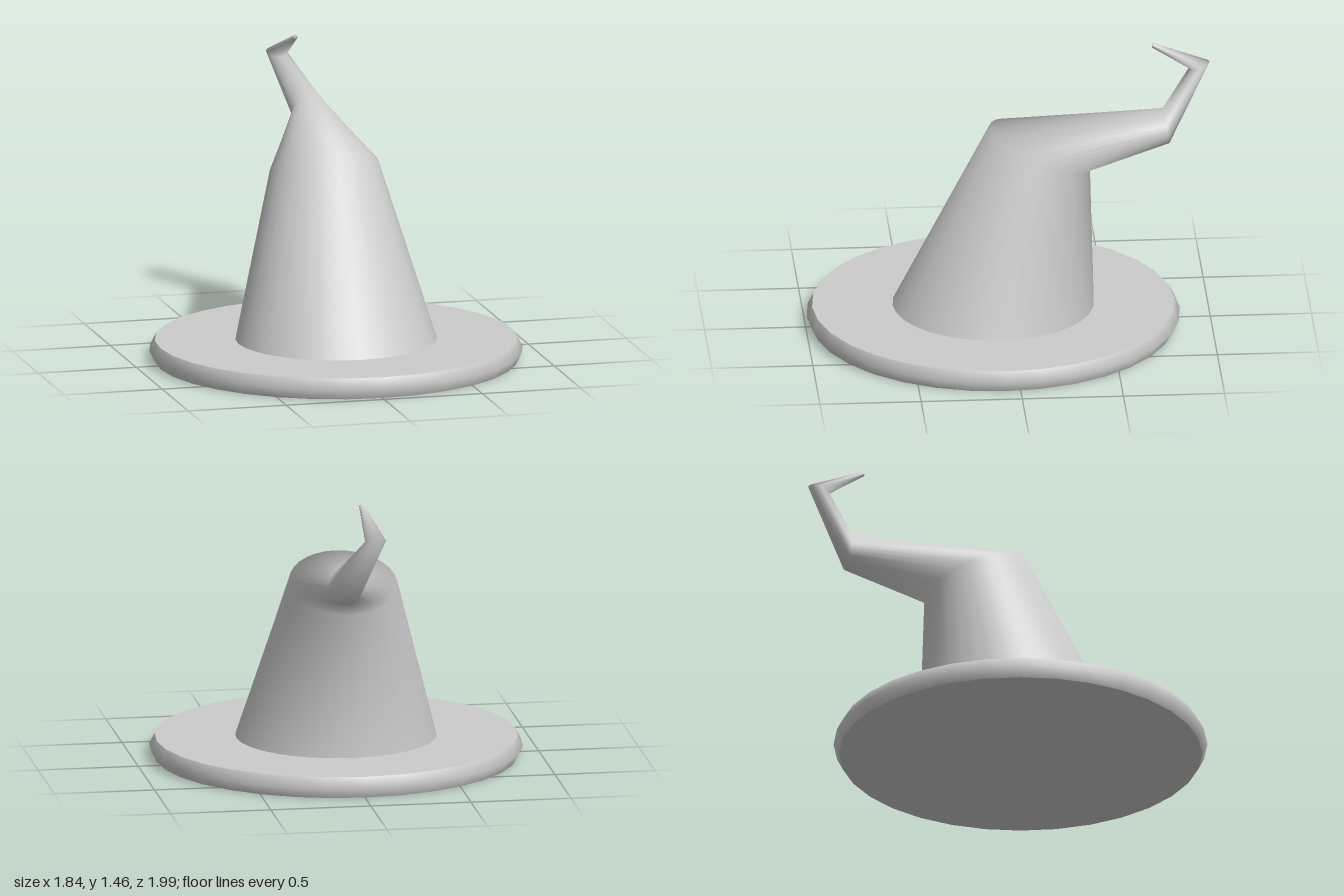
import * as THREE from 'three';

const SIDES = 32;
const BRIM_Z = 0.073;
const BRIM_HEIGHT = 0.105;

// Skin of closed loops: each ring is a circle with its across-axis along x
// and its other axis (v) tilted in the y-z plane.
function skinRings(rings) {
  const positions = [];
  const index = [];
  for (const { center, radius, v } of rings) {
    const c = new THREE.Vector3(...center);
    const tilt = new THREE.Vector3(0, ...v).setLength(radius);
    for (let k = 0; k < SIDES; k++) {
      const a = (k / SIDES) * Math.PI * 2;
      const p = c.clone().addScaledVector(tilt, Math.sin(a));
      positions.push(p.x + radius * Math.cos(a), p.y, p.z);
    }
  }
  for (let r = 0; r < rings.length - 1; r++) {
    for (let k = 0; k < SIDES; k++) {
      const n = (k + 1) % SIDES;
      const a = r * SIDES + k, b = r * SIDES + n;
      const c = a + SIDES, d = b + SIDES;
      index.push(a, c, b, b, c, d);
    }
  }
  // Cap the last ring
  const last = (rings.length - 1) * SIDES;
  positions.push(...rings.at(-1).center);
  for (let k = 0; k < SIDES; k++) {
    index.push(last + k, last + SIDES, last + (k + 1) % SIDES);
  }
  const geometry = new THREE.BufferGeometry();
  geometry.setAttribute('position', new THREE.Float32BufferAttribute(positions, 3));
  geometry.setIndex(index);
  geometry.computeVertexNormals();
  return geometry;
}

export function createModel() {
  const group = new THREE.Group();
  group.name = 'pointedHat';
  const material = new THREE.MeshStandardMaterial({ color: 0xcccccc });

  const add = (name, geometry, parent) => {
    const mesh = new THREE.Mesh(geometry, material);
    mesh.name = name;
    parent.add(mesh);
    return mesh;
  };

  // Brim: disc with a rounded rim
  const brim = new THREE.Group();
  brim.name = 'brim';
  brim.position.z = BRIM_Z;
  group.add(brim);
  const rim = [[0.895, 0], [0.922, BRIM_HEIGHT / 2], [0.895, BRIM_HEIGHT]];
  add('brimRim', new THREE.LatheGeometry(rim.map(p => new THREE.Vector2(...p)), SIDES), brim);
  const disc = new THREE.CircleGeometry(0.895, SIDES);
  add('brimTop', disc.clone().rotateX(-Math.PI / 2), brim).position.y = BRIM_HEIGHT;
  add('brimUnderside', disc.clone().rotateX(Math.PI / 2), brim);

  // Crown: cone that bends backwards, then up, then curls forward to the tip
  add('crown', skinRings([
    { center: [0, BRIM_HEIGHT, BRIM_Z], radius: 0.497, v: [0, 1] },
    { center: [0, 0.93, -0.157], radius: 0.269, v: [0.21, 0.495] },
    { center: [0.09, 1.06, -0.775], radius: 0.088, v: [0.17, 0.03] },
    { center: [-0.032, 1.33, -0.948], radius: 0.052, v: [-0.03, 0.095] },
    { center: [0, 1.453, -0.715], radius: 0.012, v: [-1, 0.17] },
  ]), group);

  return group;
}
